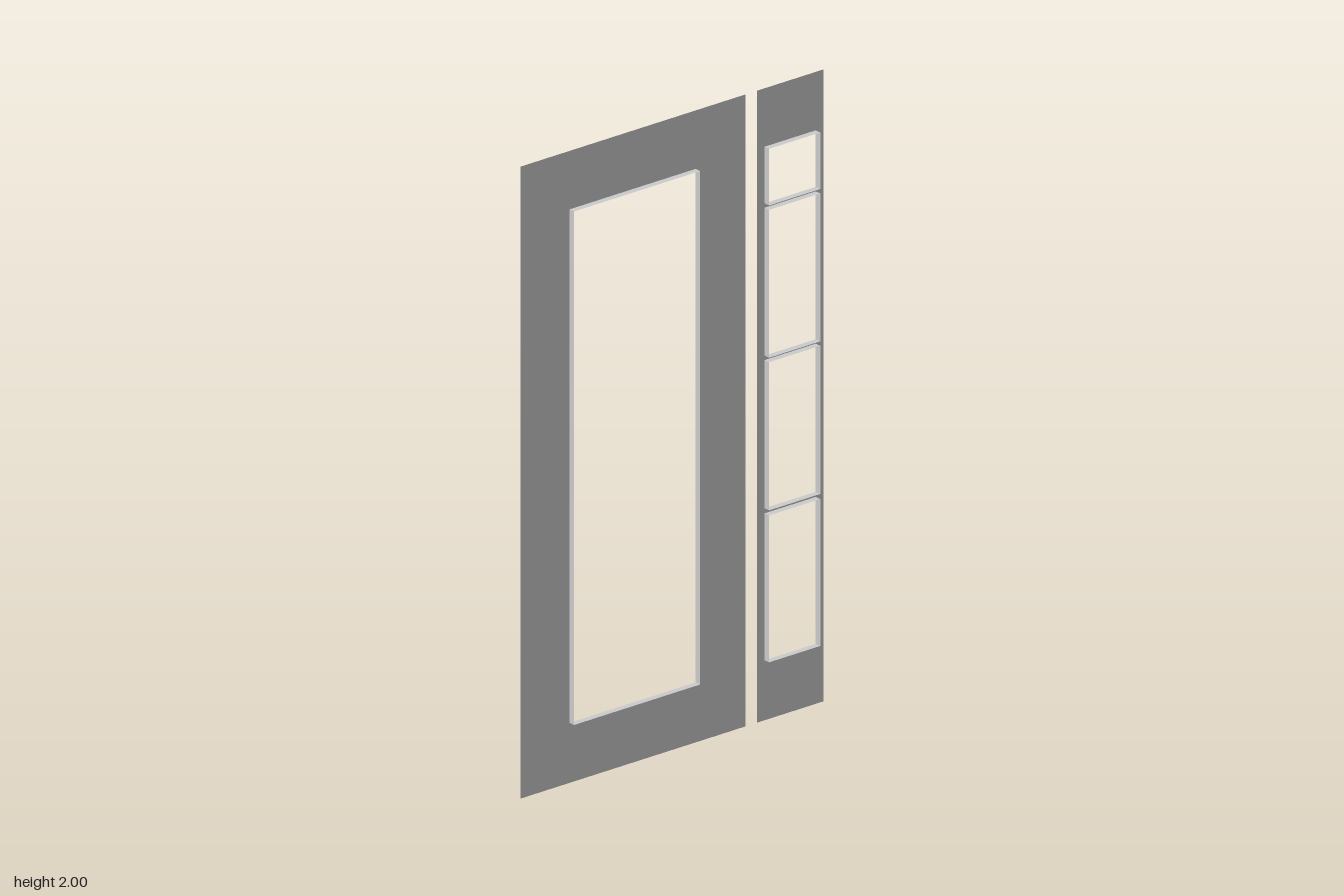
import * as THREE from 'three';

const HEIGHT = 2;
const REVEAL = 0.021; // how far the opening linings stand forward of the sheet

const material = new THREE.MeshStandardMaterial({ color: 0xcccccc, side: THREE.DoubleSide, flatShading: true });

// Thin rectangular strip lining one edge of an opening
function lining(name, length, x, y, vertical) {
  const geometry = vertical ? new THREE.PlaneGeometry(REVEAL, length) : new THREE.PlaneGeometry(length, REVEAL);
  if (vertical) geometry.rotateY(Math.PI / 2);
  else geometry.rotateX(-Math.PI / 2);
  const mesh = new THREE.Mesh(geometry, material);
  mesh.position.set(x, y, REVEAL / 2);
  mesh.name = name;
  return mesh;
}

// Flat sheet with rectangular openings, each lined on its four edges
function panel(name, x0, x1, hx0, hx1, rows) {
  const group = new THREE.Group();
  group.name = name;
  const shape = new THREE.Shape([[x0, 0], [x1, 0], [x1, HEIGHT], [x0, HEIGHT]].map(p => new THREE.Vector2(...p)));
  for (const [y0, y1] of rows) {
    shape.holes.push(new THREE.Path([[hx0, y0], [hx0, y1], [hx1, y1], [hx1, y0]].map(p => new THREE.Vector2(...p))));
    const cx = (hx0 + hx1) / 2, cy = (y0 + y1) / 2, w = hx1 - hx0, h = y1 - y0;
    group.add(
      lining('openingSill', w, cx, y0, false),
      lining('openingHead', w, cx, y1, false),
      lining('openingRightJamb', h, hx0, cy, true),
      lining('openingLeftJamb', h, hx1, cy, true)
    );
  }
  const sheet = new THREE.Mesh(new THREE.ShapeGeometry(shape), material);
  sheet.name = 'sheet';
  group.add(sheet);
  return group;
}

export function createModel() {
  const model = new THREE.Group();
  model.name = 'doorAndSidelight';

  // Both panels lie in one plane, turned slightly about the vertical
  const wall = new THREE.Group();
  wall.name = 'panels';
  wall.rotation.y = Math.atan(0.025);
  wall.position.z = -0.0082;

  wall.add(panel('doorPanel', -0.577, 0.28, -0.391, 0.09, [[0.19, 1.815]]));
  wall.add(panel('sidelightPanel', 0.324, 0.577, 0.353, 0.548,
    [[0.19, 0.655], [0.671, 1.14], [1.154, 1.622], [1.636, 1.815]]));

  model.add(wall);
  return model;
}
